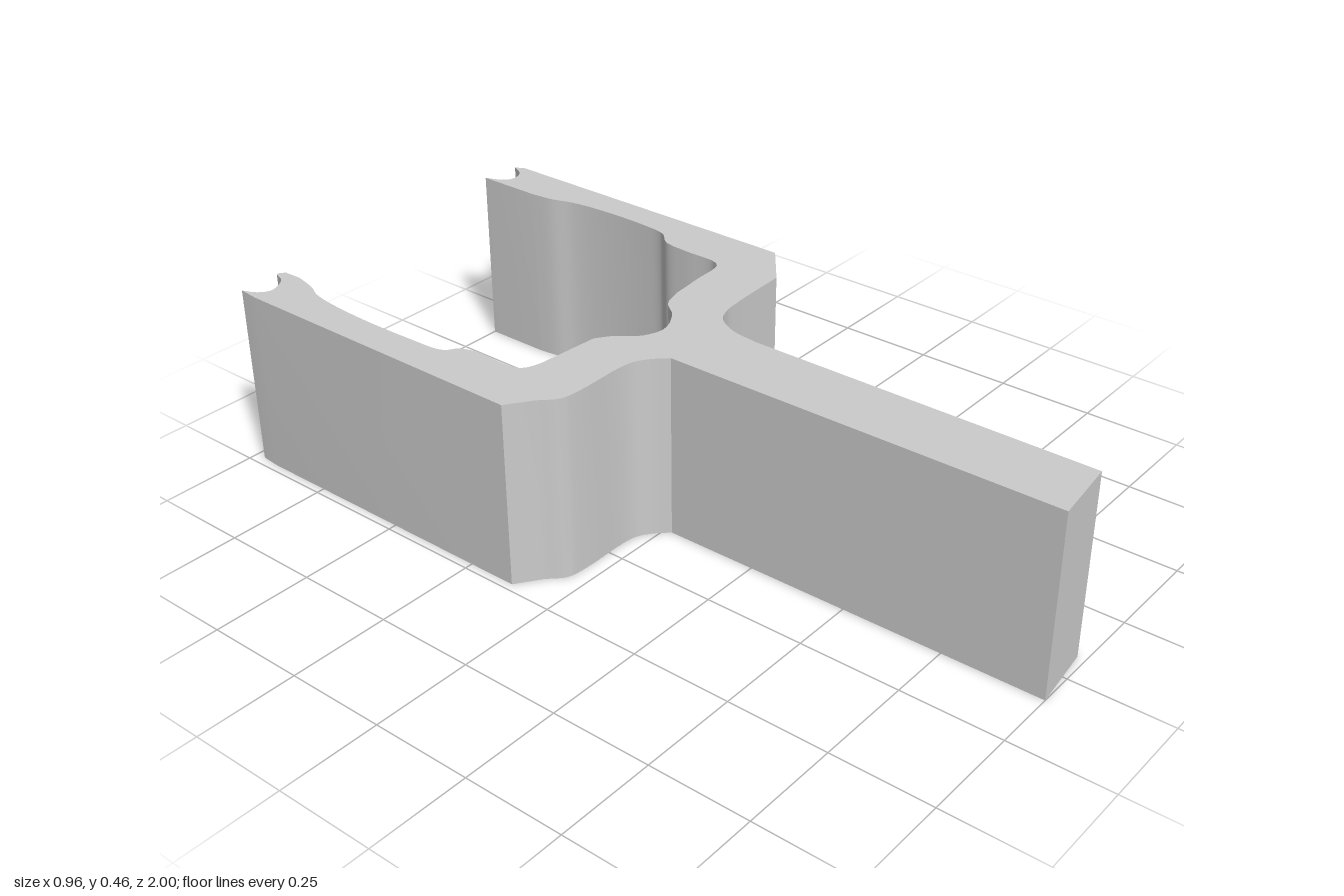
import * as THREE from 'three';
import { toCreasedNormals } from 'three/addons/utils/BufferGeometryUtils.js';

const HEIGHT = 0.46;

// Runs of the plan outline as [x, z]; each run is smooth, corners lie between runs.
const handleEnd = [[[-0.09, 1], [-0.09, 1]], [[0.08, 0.98], [0.08, 0.98]]];
const leftShoulder = [[0.08, 0.12], [0.09, 0.05], [0.12, -0.005], [0.16, -0.025], [0.22, -0.033], [0.37, -0.04]];
const leftOuterWall = [[0.478, -0.125], [0.478, -0.965]];
const leftTip = [[0.465, -0.988], [0.445, -0.952], [0.41, -0.94], [0.385, -0.955], [0.365, -1]];
const leftInnerWall = [[0.365, -0.83], [0.372, -0.77], [0.39, -0.71], [0.4, -0.62], [0.4, -0.48],
  [0.39, -0.41], [0.357, -0.37], [0.348, -0.3], [0.345, -0.21], [0.33, -0.19], [0.25, -0.182]];
const saddle = [[0.16, -0.173], [0.105, -0.155], [0.065, -0.11], [0, -0.08],
  [-0.055, -0.097], [-0.1, -0.148], [-0.135, -0.173]];
const rightInnerWall = [[-0.25, -0.182], [-0.31, -0.19], [-0.34, -0.21], [-0.345, -0.34], [-0.36, -0.375],
  [-0.385, -0.395], [-0.395, -0.5], [-0.395, -0.685], [-0.38, -0.815], [-0.36, -0.86], [-0.345, -0.92]];
const rightTip = [[-0.347, -0.968], [-0.365, -0.978], [-0.38, -0.945], [-0.43, -0.92], [-0.458, -0.937], [-0.475, -0.973]];
const rightOuterWall = [[-0.48, -0.92], [-0.48, -0.125]];
const rightShoulder = [[-0.42, -0.083], [-0.38, -0.047], [-0.33, -0.039], [-0.17, -0.035], [-0.13, -0.013], [-0.097, 0.02]];

// Straight runs keep their two ends; longer runs become smooth curves.
function sampleRun(run) {
  if (run.length === 2) return run.map(([x, z]) => new THREE.Vector2(x, -z));
  const curve = new THREE.CatmullRomCurve3(run.map(([x, z]) => new THREE.Vector3(x, -z, 0)), false, 'centripetal');
  return curve.getPoints((run.length - 1) * 5).map((p) => new THREE.Vector2(p.x, p.y));
}

export function createModel() {
  const group = new THREE.Group();
  group.name = 'forkedBracket';

  const runs = [...handleEnd, leftShoulder, leftOuterWall, leftTip, leftInnerWall, saddle,
    rightInnerWall, rightTip, rightOuterWall, rightShoulder];
  const points = runs.flatMap(sampleRun).filter((p, i, all) => i === 0 || p.distanceTo(all[i - 1]) > 1e-5);

  // Raise the plan outline straight up from the ground
  let geometry = new THREE.ExtrudeGeometry(new THREE.Shape(points), { depth: HEIGHT, bevelEnabled: false });
  geometry.rotateX(-Math.PI / 2);
  geometry = toCreasedNormals(geometry, 0.6);

  const body = new THREE.Mesh(geometry, new THREE.MeshStandardMaterial({ color: 0xcccccc }));
  body.name = 'forkAndHandle';
  group.add(body);
  return group;
}
